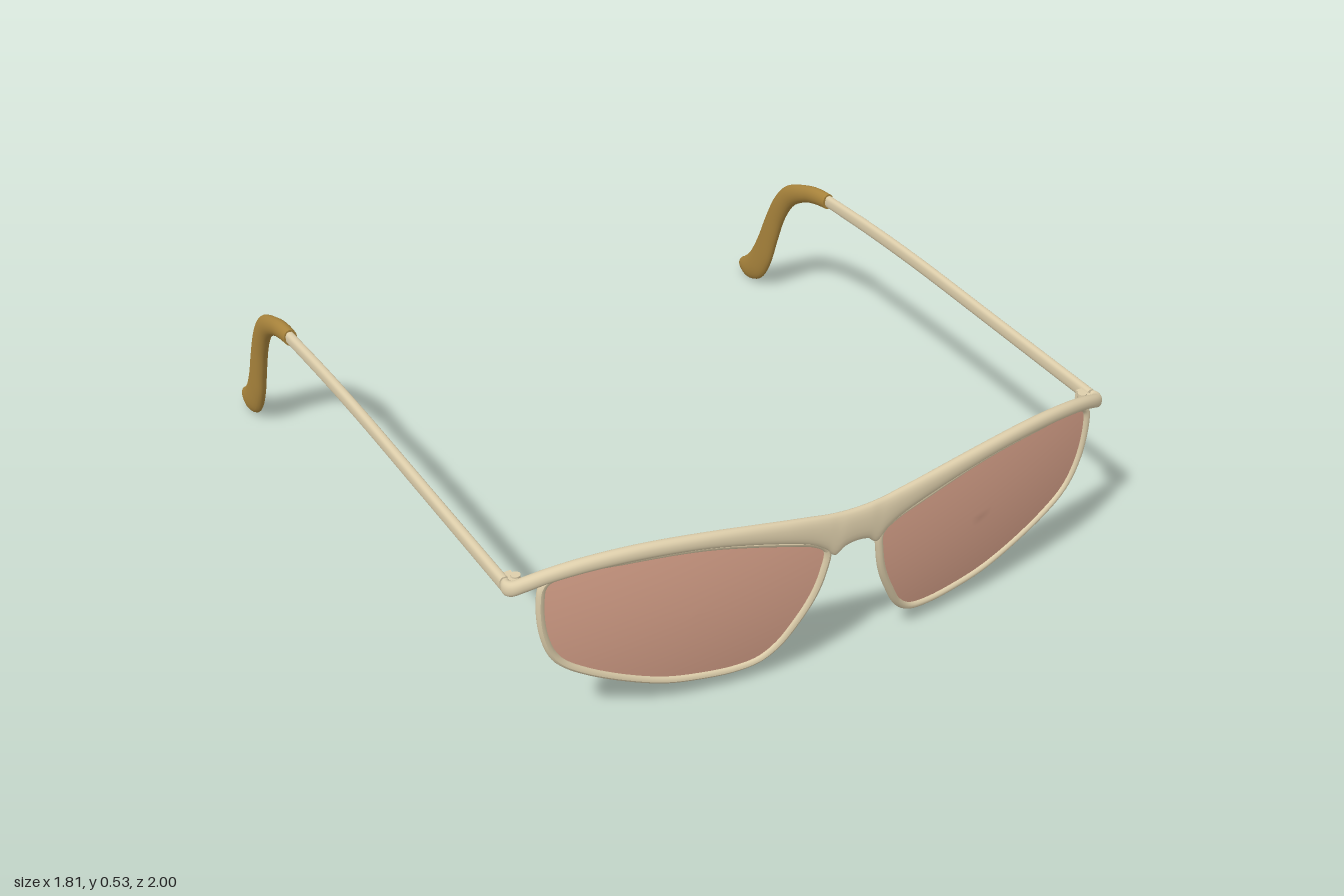
import * as THREE from 'three';

const FRAME = new THREE.MeshStandardMaterial({ color: 0xdccdaa });
const TIP = new THREE.MeshStandardMaterial({ color: 0xa9843c });
const LENS = new THREE.MeshStandardMaterial({ color: 0xdba48c, side: THREE.DoubleSide });

// Wrap of the front: depth at a given x and y
const wrapZ = (x, y) => 0.98 - 0.17 * x * x - 0.34 * (0.47 - y) ** 2;

function indexed(pos, idx) {
  const g = new THREE.BufferGeometry();
  g.setAttribute('position', new THREE.Float32BufferAttribute(pos, 3));
  g.setIndex(idx);
  g.computeVertexNormals();
  return g;
}

// Loft of oval rings; each section is [lower point, upper point, half thickness]
function loft(sections, steps, power = 1, seg = 20) {
  const lower = new THREE.CatmullRomCurve3(sections.map(s => new THREE.Vector3(...s[0])));
  const upper = new THREE.CatmullRomCurve3(sections.map(s => new THREE.Vector3(...s[1])));
  const width = new THREE.CatmullRomCurve3(sections.map((s, i) => new THREE.Vector3(i, s[2], 0)));
  const mid = t => lower.getPoint(t).add(upper.getPoint(t)).multiplyScalar(0.5);
  const shape = v => Math.sign(v) * Math.abs(v) ** power;
  const pos = [], idx = [];
  for (let i = 0; i <= steps; i++) {
    const t = i / steps, c = mid(t);
    const up = upper.getPoint(t).sub(c);
    const tangent = mid(Math.min(1, t + 0.002)).sub(mid(Math.max(0, t - 0.002)));
    const side = tangent.cross(up).normalize().multiplyScalar(width.getPoint(t).y);
    for (let j = 0; j < seg; j++) {
      const a = (j / seg) * Math.PI * 2;
      const p = c.clone().addScaledVector(up, shape(Math.cos(a))).addScaledVector(side, shape(Math.sin(a)));
      pos.push(p.x, p.y, p.z);
      if (i < steps) {
        const k = (j + 1) % seg, r = i * seg, n = r + seg;
        idx.push(r + j, r + k, n + k, r + j, n + k, n + j);
      }
    }
  }
  // End caps with their own vertices, so the edges stay crisp
  for (const end of [0, 1]) {
    const from = end * steps * seg, base = pos.length / 3, c = mid(end);
    pos.push(...pos.slice(from * 3, (from + seg) * 3), c.x, c.y, c.z);
    for (let j = 0; j < seg; j++) {
      const k = (j + 1) % seg;
      idx.push(base + seg, base + (end ? j : k), base + (end ? k : j));
    }
  }
  return indexed(pos, idx);
}

// Mirrored copy across x = 0 with the winding restored
function mirrored(geometry) {
  const g = geometry.clone().scale(-1, 1, 1);
  const a = g.index.array;
  for (let i = 0; i < a.length; i += 3) [a[i], a[i + 1]] = [a[i + 1], a[i]];
  g.computeVertexNormals();
  return g;
}

// Outline of the left lens
const outline = new THREE.CatmullRomCurve3([
  [0.078, 0.385], [0.11, 0.412], [0.2, 0.443], [0.4, 0.488], [0.59, 0.498], [0.75, 0.49],
  [0.788, 0.467], [0.797, 0.42], [0.788, 0.315], [0.755, 0.235], [0.685, 0.178], [0.495, 0.088],
  [0.38, 0.064], [0.286, 0.057], [0.225, 0.068], [0.18, 0.105], [0.14, 0.17], [0.102, 0.25], [0.083, 0.32],
].map(([x, y]) => new THREE.Vector3(x, y, wrapZ(x, y))), true);

function lensGeometry(rings = 10, seg = 96) {
  const cx = 0.42, cy = 0.29, pos = [], idx = [];
  for (let i = 0; i <= rings; i++) {
    for (let j = 0; j < seg; j++) {
      const p = outline.getPoint(j / seg), f = i / rings;
      const x = cx + (p.x - cx) * f, y = cy + (p.y - cy) * f;
      pos.push(x, y, wrapZ(x, y));
      if (i < rings) {
        const k = (j + 1) % seg, r = i * seg, n = r + seg;
        if (i > 0) idx.push(r + j, r + k, n + k);
        idx.push(r + j, n + k, n + j);
      }
    }
  }
  // The outline runs clockwise, so reverse each triangle to face the front
  for (let i = 0; i < idx.length; i += 3) [idx[i], idx[i + 1]] = [idx[i + 1], idx[i]];
  const g = indexed(pos, idx);
  // The centre ring is a single point: share one normal
  for (let j = 0; j < seg; j++) g.attributes.normal.setXYZ(j, 0.14, -0.12, 0.98);
  return g;
}

// Brow bar and bridge, half: x, lower y, upper y, z, half thickness
const BROW = [
  [0, 0.39, 0.485, 0.984, 0.016], [0.035, 0.384, 0.486, 0.984, 0.016], [0.06, 0.366, 0.488, 0.983, 0.016],
  [0.085, 0.39, 0.49, 0.982, 0.016], [0.12, 0.413, 0.495, 0.98, 0.016], [0.2, 0.442, 0.506, 0.975, 0.016],
  [0.4, 0.487, 0.53, 0.956, 0.016], [0.57, 0.497, 0.537, 0.929, 0.016], [0.7, 0.488, 0.526, 0.9, 0.016],
  [0.78, 0.471, 0.508, 0.876, 0.016], [0.83, 0.451, 0.49, 0.856, 0.016], [0.853, 0.439, 0.479, 0.842, 0.015],
  [0.86, 0.436, 0.476, 0.828, 0.013], [0.858, 0.436, 0.475, 0.817, 0.012],
];

// Ear tip, side profile: lower z, y, upper z, y, half thickness
const EAR = [
  [-0.49, 0.447, -0.49, 0.497, 0.019], [-0.55, 0.438, -0.55, 0.492, 0.021], [-0.61, 0.42, -0.61, 0.478, 0.021],
  [-0.69, 0.372, -0.727, 0.43, 0.021], [-0.745, 0.295, -0.79, 0.365, 0.021], [-0.785, 0.195, -0.845, 0.265, 0.021],
  [-0.82, 0.1, -0.885, 0.18, 0.021], [-0.87, 0.03, -0.93, 0.107, 0.021], [-0.94, 0.003, -0.97, 0.07, 0.018],
  [-0.985, 0.015, -0.99, 0.056, 0.012], [-1, 0.032, -0.999, 0.042, 0.005],
];

// Temple arm: z, lower y, upper y
const ARM = [[0.812, 0.436, 0.475], [0.4, 0.449, 0.487], [0, 0.46, 0.499], [-0.25, 0.46, 0.499], [-0.52, 0.453, 0.49]];
const armX = z => 0.858 + (0.812 - z) * 0.0225;

export function createModel() {
  const model = new THREE.Group();
  model.name = 'sunglasses';
  const add = (name, geometry, material) => {
    const mesh = new THREE.Mesh(geometry, material);
    mesh.name = name;
    model.add(mesh);
  };
  const addPair = (name, geometry, material) => {
    add('left' + name, geometry, material);
    add('right' + name, mirrored(geometry), material);
  };

  // Front: brow bar, rims and lenses
  const brow = s => BROW.map(([x, lo, hi, z, w]) => [[s * x, lo, z], [s * x, hi, z], w]);
  add('browBar', loft([...brow(-1).slice(1).reverse(), ...brow(1)], 156, 0.9), FRAME);
  addPair('Rim', new THREE.TubeGeometry(outline, 140, 0.0105, 10, true), FRAME);
  addPair('Lens', lensGeometry(), LENS);

  // Hinges: knuckle barrel and the leaf joining it to the arm
  addPair('HingeBarrel', new THREE.CylinderGeometry(0.012, 0.012, 0.034, 16).translate(0.829, 0.455, 0.812), FRAME);
  addPair('HingeLeaf', new THREE.BoxGeometry(0.022, 0.026, 0.045).translate(0.84, 0.455, 0.808), FRAME);

  // Temple arms and curved ear tips
  addPair('Temple', loft(ARM.map(([z, lo, hi]) => [[armX(z), lo, z], [armX(z), hi, z], 0.0125]), 30, 0.75), FRAME);
  addPair('EarTip', loft(EAR.map(([z0, y0, z1, y1, w]) => [[0.886, y0, z0], [0.886, y1, z1], w]), 60), TIP);
  return model;
}
